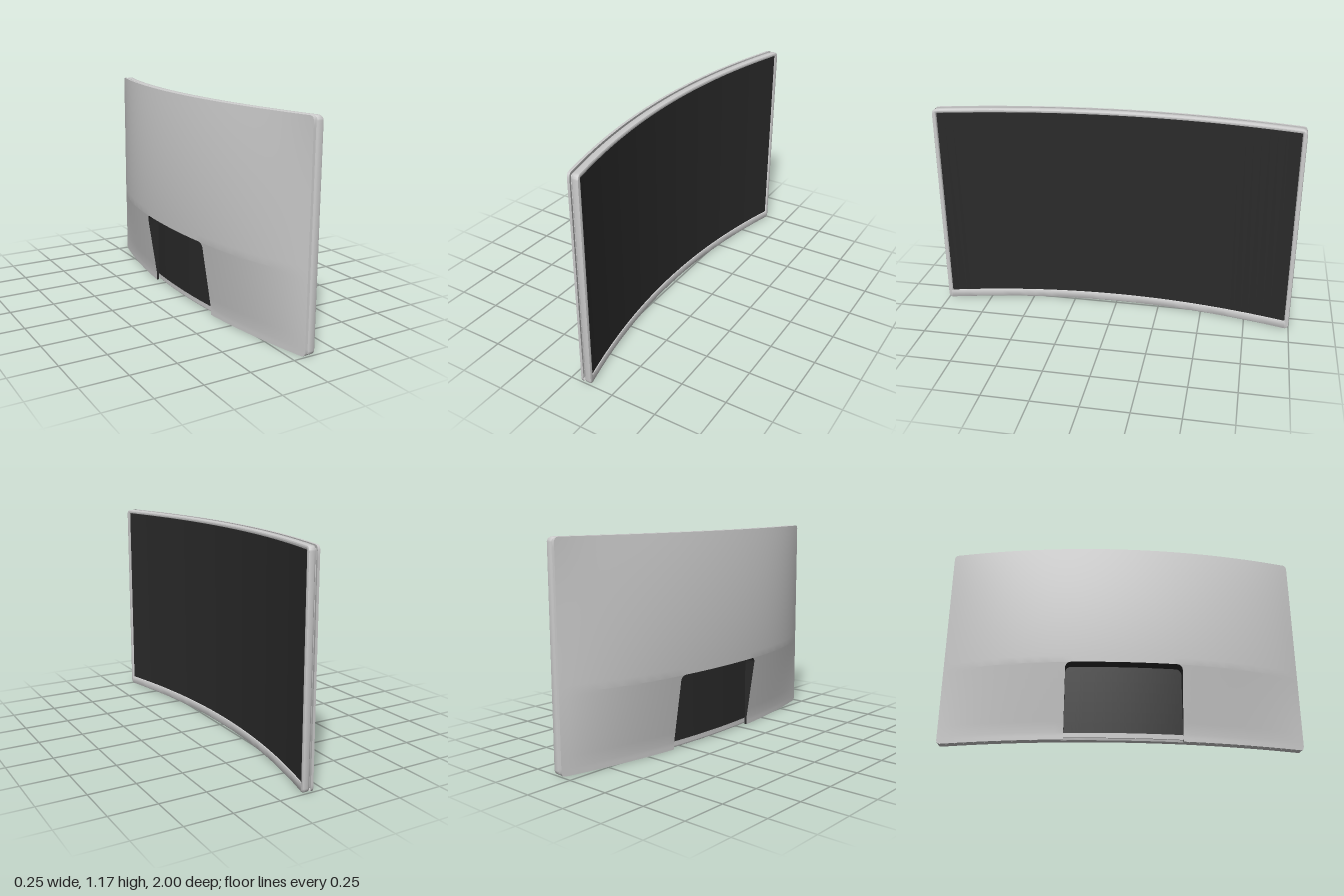
import * as THREE from 'three';
import { toCreasedNormals } from 'three/addons/utils/BufferGeometryUtils.js';

const H = 1.17;        // overall height; the width runs along z from -1 to 1
const CURVE = 0.133;   // how far the ends sweep forward (+x)
const FRONT = -0.008, BACK = -0.048;   // frame depth at the middle
const COVER_FRONT = -0.056;
const NOTCH_TOP = 0.42, NOTCH_HALF = 0.32, NOTCH_R = 0.03;

const grey = new THREE.MeshStandardMaterial({ color: 0xcccccc, side: THREE.DoubleSide });
const dark = new THREE.MeshStandardMaterial({ color: 0x2a2a2a, side: THREE.DoubleSide });

// every point is bent onto the curved sheet
const bend = (x, y, z) => [x + CURVE * z * z, y, z];

// skin a grid of points (rows of equal length), optionally leaving cells out
function skin(name, rows, material, skip = () => false) {
  const n = rows[0].length, index = [];
  for (let i = 0; i < rows.length - 1; i++) {
    for (let j = 0; j < n - 1; j++) {
      if (skip(i, j)) continue;
      const a = i * n + j, b = a + 1, c = a + n, d = c + 1;
      index.push(a, b, c, b, d, c);
    }
  }
  const geo = new THREE.BufferGeometry();
  geo.setAttribute('position', new THREE.Float32BufferAttribute(rows.flat(2), 3));
  geo.setIndex(index);
  const mesh = new THREE.Mesh(toCreasedNormals(geo, 0.6), material);
  mesh.name = name;
  return mesh;
}

// closed rounded-rectangle loop, inset from the outer outline
function loop(x, side, top = side, bottom = side) {
  const r = Math.max(0.025 - side, 0.003), pts = [];
  const z1 = 1 - side, y0 = bottom, y1 = H - top;
  const corners = [[z1 - r, y0 + r, -0.5], [z1 - r, y1 - r, 0], [-z1 + r, y1 - r, 0.5], [-z1 + r, y0 + r, 1]];
  corners.forEach(([cz, cy, start], c) => {
    for (let i = 0; i <= 5; i++) {
      const a = (start + i / 10) * Math.PI;
      pts.push(bend(x, cy + r * Math.sin(a), cz + r * Math.cos(a)));
    }
    // subdivide the long edges so they follow the curve
    if (c % 2 === 1) {
      const sign = c === 1 ? 1 : -1, y = c === 1 ? y1 : y0;
      for (let i = 1; i < 40; i++) pts.push(bend(x, y, sign * (z1 - r) * (1 - i / 20)));
    }
  });
  pts.push(pts[0]);
  return pts;
}

// half width of the cover, with rounded outer corners
function halfWidth(y) {
  const r = 0.02, d = Math.min(y, H - y);
  return d >= r ? 1 : 1 - r + Math.sqrt(Math.max(0, r * r - (r - d) ** 2));
}

// half width of the notch, with rounded upper corners
function notchHalf(y) {
  const t = Math.min(Math.max(y - (NOTCH_TOP - NOTCH_R), 0), NOTCH_R);
  return NOTCH_HALF - NOTCH_R + Math.sqrt(Math.max(0, NOTCH_R ** 2 - t * t));
}

// cover column: |u| up to 1 spans the notch, 1 to 2 spans the wing beside it
function coverZ(u, y) {
  const a = Math.abs(u), n = notchHalf(y);
  return Math.sign(u) * (a <= 1 ? a * n : n + (a - 1) * (halfWidth(y) - n));
}

// bulge of the cover: an arc above the notch top, a straight taper below
function rearX(y, z) {
  const arc = v => 1 - ((v - 0.5) / 0.67) ** 2;
  const p = y >= NOTCH_TOP ? arc(y) : arc(NOTCH_TOP) * Math.max(0, (y - 0.04) / (NOTCH_TOP - 0.04));
  return -0.07 - 0.061 * p * (1 - z ** 4);
}

function buildCover() {
  const cover = new THREE.Group();
  cover.name = 'backCover';
  const us = [], ys = [0, 0.002, 0.007, 0.02, 0.04];
  for (let i = -32; i <= 32; i++) us.push(i / 16);
  for (let i = 1; i <= 6; i++) ys.push(0.04 + 0.35 * i / 6);
  for (let i = 1; i <= 6; i++) ys.push(NOTCH_TOP - NOTCH_R + NOTCH_R * Math.sin(i * Math.PI / 12));
  for (let i = 1; i <= 20; i++) ys.push(NOTCH_TOP + (H - 0.02 - NOTCH_TOP) * i / 20);
  ys.push(H - 0.007, H - 0.002, H);

  const rear = ([u, y]) => { const z = coverZ(u, y); return bend(rearX(y, z), y, z); };
  const flat = x => ([u, y]) => bend(x, y, coverZ(u, y));
  const inNotch = (i, j) => ys[i + 1] <= NOTCH_TOP + 1e-6 && us[j] >= -1 && us[j + 1] <= 1;
  cover.add(skin('coverShell', ys.map(y => us.map(u => rear([u, y]))), grey, inNotch));

  // thin outer rim, open across the notch
  const rim = [
    ...us.filter(u => u >= 1).map(u => [u, 0]),
    ...ys.slice(1).map(y => [2, y]),
    ...us.slice(0, -1).reverse().map(u => [u, H]),
    ...ys.slice(0, -1).reverse().map(y => [-2, y]),
    ...us.filter(u => u > -2 && u <= -1).map(u => [u, 0]),
  ];
  cover.add(skin('coverRim', [rim.map(flat(COVER_FRONT)), rim.map(rear)], grey));

  // dark walls and floor of the notch
  const low = ys.filter(y => y <= NOTCH_TOP + 1e-6);
  const mid = us.filter(u => Math.abs(u) <= 1);
  const path = [
    ...low.map(y => [-1, y]),
    ...mid.slice(1).map(u => [u, NOTCH_TOP]),
    ...low.slice(0, -1).reverse().map(y => [1, y]),
  ];
  cover.add(skin('notchWalls', [path.map(flat(COVER_FRONT)), path.map(rear)], dark));
  const floorRows = low.filter(y => y >= 0.03).map(y => mid.map(u => flat(COVER_FRONT - 0.002)([u, y])));
  cover.add(skin('notchFloor', floorRows, dark));
  return cover;
}

export function createModel() {
  const model = new THREE.Group();
  model.name = 'curvedDisplay';

  // frame around the screen, with rounded edges and a deeper chin
  model.add(skin('frame', [
    loop(FRONT - 0.009, 0.026, 0.022, 0.05),
    loop(FRONT - 0.002, 0.023, 0.019, 0.047),
    loop(FRONT, 0.018, 0.015, 0.042),
    loop(FRONT, 0.01),
    loop(FRONT - 0.004, 0.003),
    loop(FRONT - 0.011, 0),
    loop(BACK + 0.008, 0),
    loop(BACK + 0.002, 0.003),
    loop(BACK, 0.008),
    loop(BACK, 0.05),
  ], grey));

  // recessed core that makes the groove between frame and cover
  model.add(skin('core', [
    loop(BACK + 0.002, 0.014), loop(COVER_FRONT, 0.014), loop(COVER_FRONT, 0.05),
  ], grey));

  // curved screen facing +x
  const screenRow = y => Array.from({ length: 49 }, (_, i) => bend(FRONT - 0.007, y, 0.977 * (1 - i / 24)));
  model.add(skin('screen', [screenRow(0.048), screenRow(H - 0.02)], dark));

  model.add(buildCover());
  return model;
}
